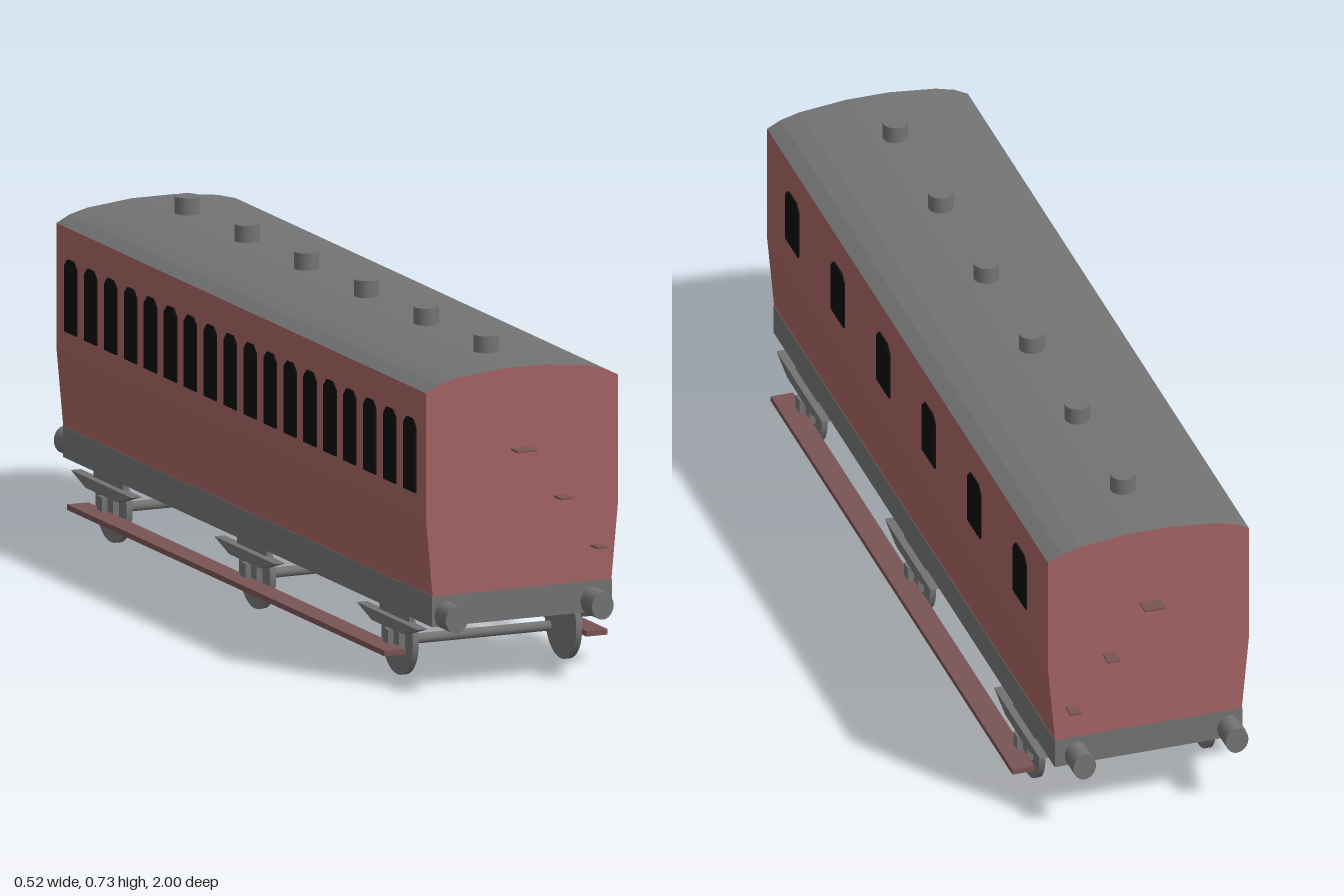
import * as THREE from 'three';

const mat = (name, color) => Object.assign(new THREE.MeshStandardMaterial({ color }), { name });

export function createModel() {
  const red = mat('carriage red', 0xa56363);
  const grey = mat('frame grey', 0x737373);
  const brown = mat('board brown', 0x7a5454);
  const black = mat('window black', 0x0c0c0c);
  const HALF = 0.942; // half length of the coach body

  const model = new THREE.Group();
  model.name = 'railwayCarriage';

  function add(name, geometry, material, x = 0, y = 0, z = 0) {
    const mesh = new THREE.Mesh(geometry, material);
    mesh.name = name;
    mesh.position.set(x, y, z);
    model.add(mesh);
    return mesh;
  }
  const box = (name, w, h, d, material, x, y, z) =>
    add(name, new THREE.BoxGeometry(w, h, d), material, x, y, z);

  // Cross-section extruded along z and centred
  function extrude(points, depth) {
    const shape = new THREE.Shape(points.map(([x, y]) => new THREE.Vector2(x, y)));
    return new THREE.ExtrudeGeometry(shape, { depth, bevelEnabled: false }).translate(0, 0, -depth / 2);
  }

  // Body sides tuck in towards the floor
  add('body', extrude([[-0.21, 0.212], [0.21, 0.212], [0.226, 0.385], [0.226, 0.657],
    [-0.226, 0.657], [-0.226, 0.385]], HALF * 2), red, -0.002);

  // Arched roof: red ends, grey top
  add('roof', extrude([[-0.226, 0.657], [0.226, 0.657], [0.195, 0.673], [0.153, 0.684], [0.048, 0.695],
    [-0.048, 0.695], [-0.153, 0.684], [-0.195, 0.673]], HALF * 2), [red, grey], -0.002);

  // Underframe
  box('underframe', 0.422, 0.067, HALF * 2, grey, -0.002, 0.1785, 0);

  // Windows with clipped upper corners
  function addWindow(side, z, width, bottom, top) {
    const w = width / 2, c = 0.016;
    const pane = extrude([[-w, bottom], [w, bottom], [w, top - c], [w - c, top], [-w + c, top], [-w, top - c]], 0.006);
    add('window', pane, black, -0.002 + side * 0.2265, 0, z).rotation.y = Math.PI / 2;
  }

  // Six compartments, each with a vent, one corridor window and three door-side windows
  for (let i = 0; i < 6; i++) {
    const z = 0.765 - i * 0.305;
    add('roofVent', new THREE.CylinderGeometry(0.027, 0.027, 0.05, 20), grey, -0.005, 0.707, z);
    addWindow(1, z + 0.003, 0.085, 0.46, 0.587);
    for (const k of [-1, 0, 1]) addWindow(-1, z - 0.003 + k * 0.1017, 0.062, 0.43, 0.59);
  }

  // Buffers and end steps
  for (const end of [-1, 1]) {
    for (const x of [-0.182, 0.161]) {
      const buffer = add('buffer', new THREE.CylinderGeometry(0.0255, 0.0255, 0.065, 24), grey, x, 0.169, end * 0.9675);
      buffer.rotation.x = Math.PI / 2;
      buffer.scale.z = 1.18;
    }
    for (const [x, y, w] of [[-0.005, 0.517, 0.046], [0.087, 0.405, 0.028], [0.172, 0.29, 0.026]]) {
      box('endStep', w, 0.004, 0.037, brown, x, y, end * (HALF + 0.0175));
    }
  }

  // Three wheelsets with springs and axle boxes
  for (const z of [0.737, 0.01, -0.722]) {
    add('axle', new THREE.CylinderGeometry(0.011, 0.011, 0.315, 16), grey, -0.001, 0.075, z).rotation.z = Math.PI / 2;
    for (const side of [-1, 1]) {
      const x = (d) => -0.002 + side * d;
      add('wheel', new THREE.CylinderGeometry(0.08, 0.08, 0.014, 32), grey, x(0.192), 0.081, z).rotation.z = Math.PI / 2;
      const spring = extrude([[-0.08, 0.106], [0.08, 0.106], [0.155, 0.13], [-0.155, 0.13]], 0.024);
      add('leafSpring', spring, grey, x(0.21), 0, z).rotation.y = Math.PI / 2;
      box('springHanger', 0.012, 0.03, 0.15, grey, x(0.2), 0.138, z);
      box('axleGuard', 0.014, 0.05, 0.08, grey, x(0.206), 0.082, z);
      box('axleBox', 0.025, 0.043, 0.026, grey, x(0.2135), 0.0815, z);
    }
  }

  // Long footboards
  for (const side of [-1, 1]) {
    box('footboard', 0.05, 0.012, 1.62, brown, -0.002 + side * 0.237, 0.066, 0);
  }

  return model;
}
